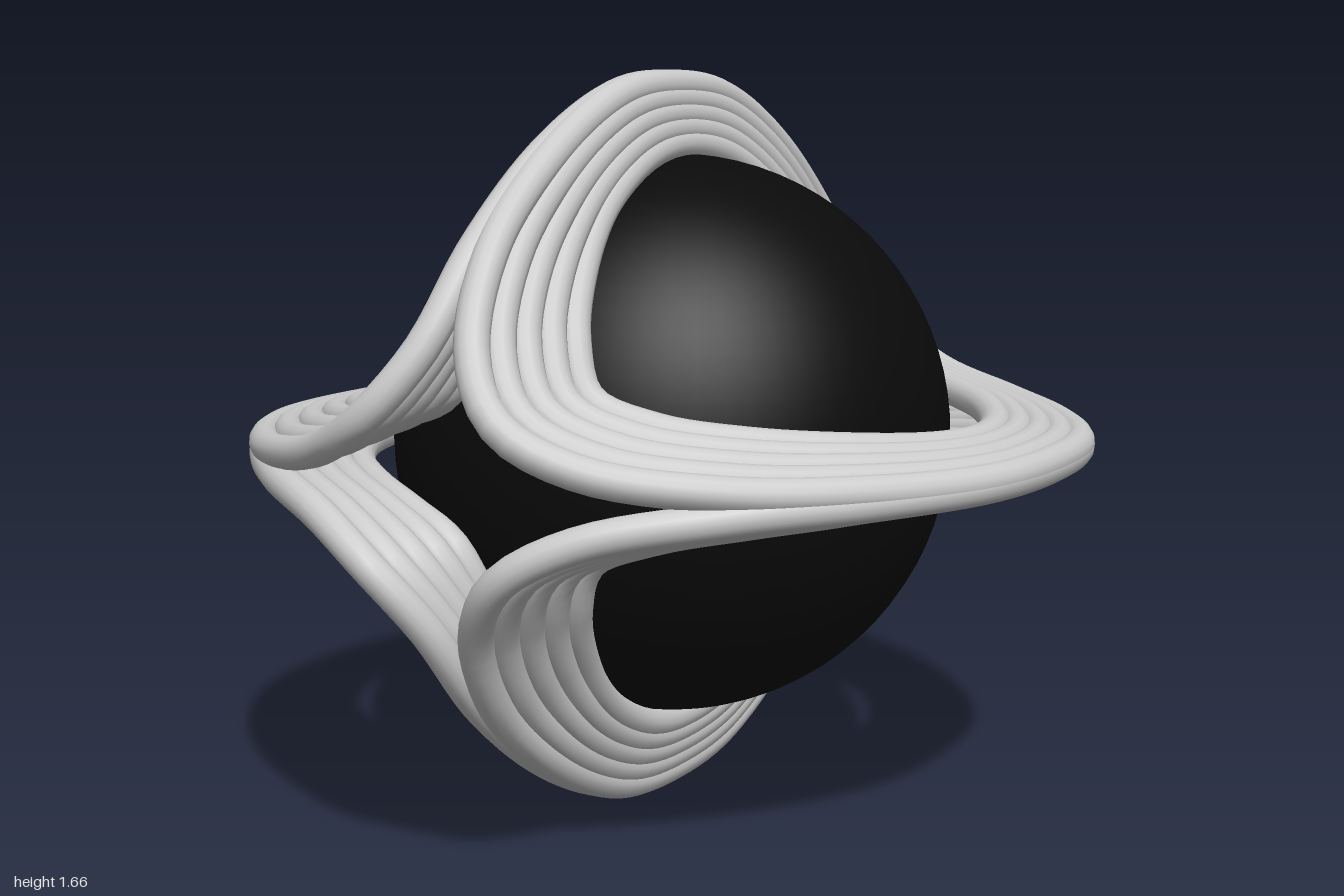
import * as THREE from 'three';

const CENTER_Y = 0.832;
const TUBE_RADIUS = 0.036;
const RINGS = 5;

// Half a loop, from the crest through the front corner to the side (relative to the core centre)
const OUTER = [
  [0.005, 0.795, 0], [0.005, 0.77, 0.25], [0.01, 0.65, 0.53], [0.02, 0.47, 0.77],
  [0.06, 0.28, 0.905], [0.155, 0.15, 0.964], [0.3, 0.07, 0.92], [0.54, 0.025, 0.77],
  [0.755, 0.01, 0.535], [0.88, 0.005, 0.29], [0.915, 0.005, 0],
];
const INNER = [
  [0.03, 0.665, 0], [0.038, 0.635, 0.2], [0.055, 0.53, 0.41], [0.08, 0.4, 0.54],
  [0.115, 0.28, 0.62], [0.17, 0.165, 0.652], [0.3, 0.11, 0.615], [0.46, 0.08, 0.52],
  [0.62, 0.06, 0.37], [0.72, 0.045, 0.19], [0.755, 0.04, 0],
];

// Closed saddle-shaped loop in one quadrant, t = 0 outermost, t = 1 innermost
function loopCurve(t, sx, sy) {
  const half = OUTER.map((o, i) => new THREE.Vector3(...o).lerp(new THREE.Vector3(...INNER[i]), t));
  const back = half.slice(1, -1).reverse().map((p) => new THREE.Vector3(p.x, p.y, -p.z));
  const points = [...half, ...back].map((p) => new THREE.Vector3(p.x * sx, p.y * sy, p.z));
  return new THREE.CatmullRomCurve3(points, true);
}

export function createModel() {
  const model = new THREE.Group();
  const grey = new THREE.MeshStandardMaterial({ color: 0xcccccc });
  const black = new THREE.MeshStandardMaterial({ color: 0x0a0a0a });

  // Dark ball in the middle
  const core = new THREE.Mesh(new THREE.SphereGeometry(0.64, 64, 40), black);
  core.name = 'coreSphere';
  core.position.y = CENTER_Y + 0.003;
  model.add(core);

  // Four coils of nested tubes, one per quadrant
  for (const sx of [1, -1]) {
    for (const sy of [1, -1]) {
      const coil = new THREE.Group();
      coil.name = (sy > 0 ? 'upper' : 'lower') + (sx > 0 ? 'Left' : 'Right') + 'Coil';
      coil.position.y = CENTER_Y;
      for (let i = 0; i < RINGS; i++) {
        const curve = loopCurve(i / (RINGS - 1), sx, sy);
        const tube = new THREE.Mesh(new THREE.TubeGeometry(curve, 120, TUBE_RADIUS, 14, true), grey);
        tube.name = 'coilTurn' + (i + 1);
        coil.add(tube);
      }
      model.add(coil);
    }
  }
  return model;
}
